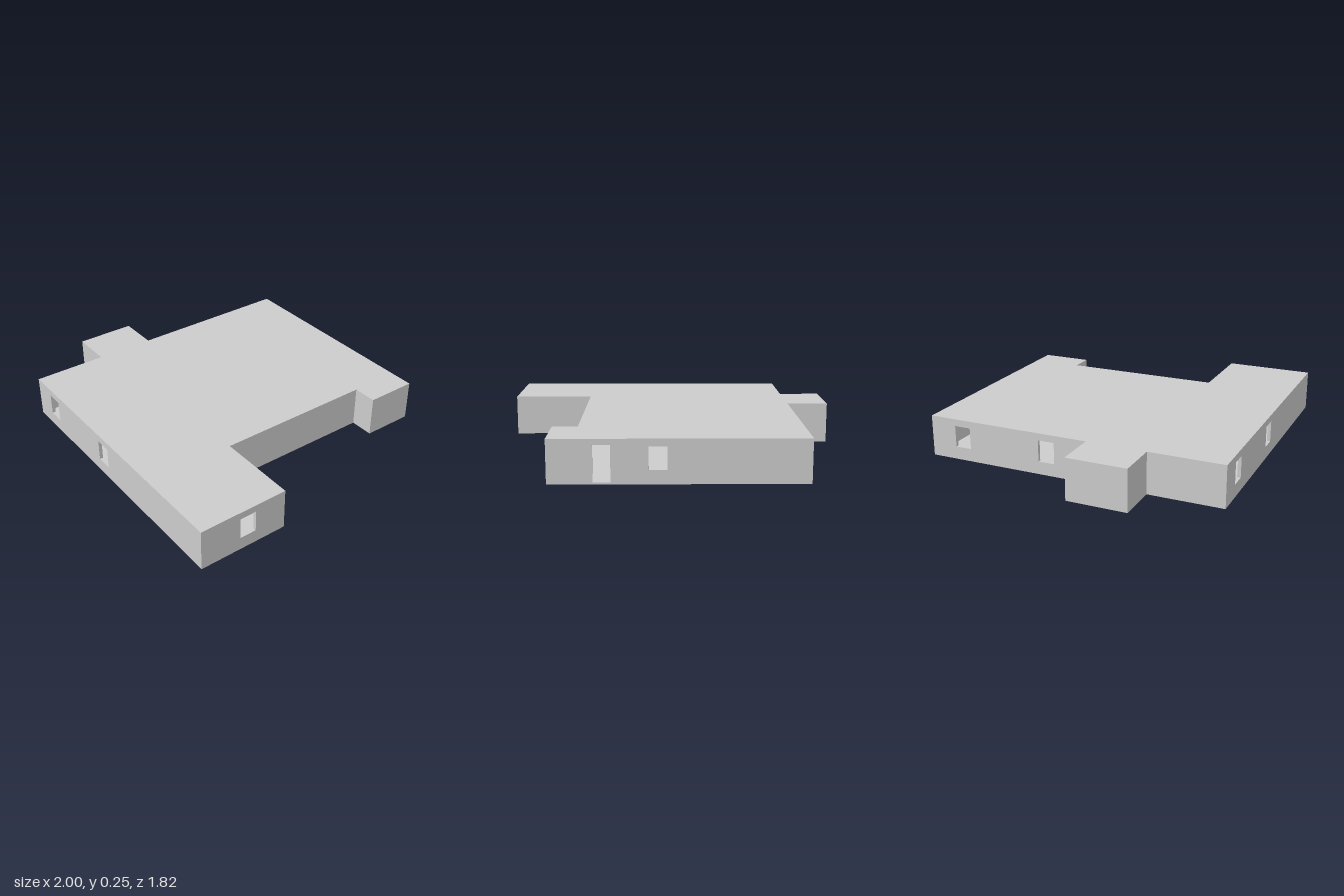
import * as THREE from 'three';

const HEIGHT = 0.247, SLAB = 0.01, WALL = 0.02;
const SILL = 0.077, HEAD = 0.205;

// Floor plan corners as [x, z], starting front-left and running along the front.
const PLAN = [
  [-0.75, 0.905], [1, 0.905], [1, 0.365], [0.515, 0.365], [0.515, -0.6], [0.66, -0.6],
  [0.66, -0.91], [-0.748, -0.91], [-0.75, 0.1], [-1, 0.1], [-1, 0.46], [-0.75, 0.46],
];

// Openings per wall: [start, end, bottom, top], measured along the wall.
const OPENINGS = {
  0: [[0.15, 0.25, SILL, HEAD], [0.735, 0.835, SILL, HEAD]],
  1: [[0.247, 0.347, SILL, HEAD]],
  6: [[0.245, 0.34, SLAB + 0.002, 0.215], [0.542, 0.642, SILL, HEAD]],
  7: [[0.16, 0.26, SILL, HEAD], [0.71, 0.81, SILL, HEAD]],
};

const material = new THREE.MeshStandardMaterial({ color: 0xcccccc, flatShading: true });

function rectangle(Type, x0, x1, y0, y1) {
  return new Type([[x0, y0], [x1, y0], [x1, y1], [x0, y1]].map(([x, y]) => new THREE.Vector2(x, y)));
}

function addMesh(group, name, geometry) {
  const mesh = new THREE.Mesh(geometry, material);
  mesh.name = name;
  group.add(mesh);
  return mesh;
}

function slab(group, name, y) {
  const shape = new THREE.Shape(PLAN.map(([x, z]) => new THREE.Vector2(x, -z)));
  const geometry = new THREE.ExtrudeGeometry(shape, { depth: SLAB, bevelEnabled: false });
  geometry.rotateX(-Math.PI / 2);
  addMesh(group, name, geometry).position.y = y;
}

function direction(i) {
  const n = PLAN.length;
  const a = PLAN[(i + n) % n], b = PLAN[(i + 1) % n];
  return new THREE.Vector2(b[0] - a[0], b[1] - a[1]);
}

export function createModel() {
  const model = new THREE.Group();
  model.name = 'building';

  slab(model, 'floor', 0);
  slab(model, 'roof', HEIGHT - SLAB);

  // Outer walls, thickened inwards; each start is trimmed or extended to fit its corner
  PLAN.forEach(([x, z], i) => {
    const d = direction(i);
    const start = direction(i - 1).cross(d) < 0 ? WALL : -WALL;
    const shape = rectangle(THREE.Shape, start, d.length(), SLAB, HEIGHT - SLAB);
    for (const opening of OPENINGS[i] ?? []) shape.holes.push(rectangle(THREE.Path, ...opening));
    const geometry = new THREE.ExtrudeGeometry(shape, { depth: WALL, bevelEnabled: false });
    geometry.translate(0, 0, -WALL);
    const wall = addMesh(model, `outerWall${i + 1}`, geometry);
    wall.position.set(x, 0, z);
    wall.rotation.y = Math.atan2(-d.y, d.x);
  });

  // Inner partition beside the back door
  const partition = addMesh(model, 'partitionWall', new THREE.BoxGeometry(WALL, HEIGHT - 2 * SLAB, 0.29));
  partition.position.set(0.28, HEIGHT / 2, -0.745);

  return model;
}
